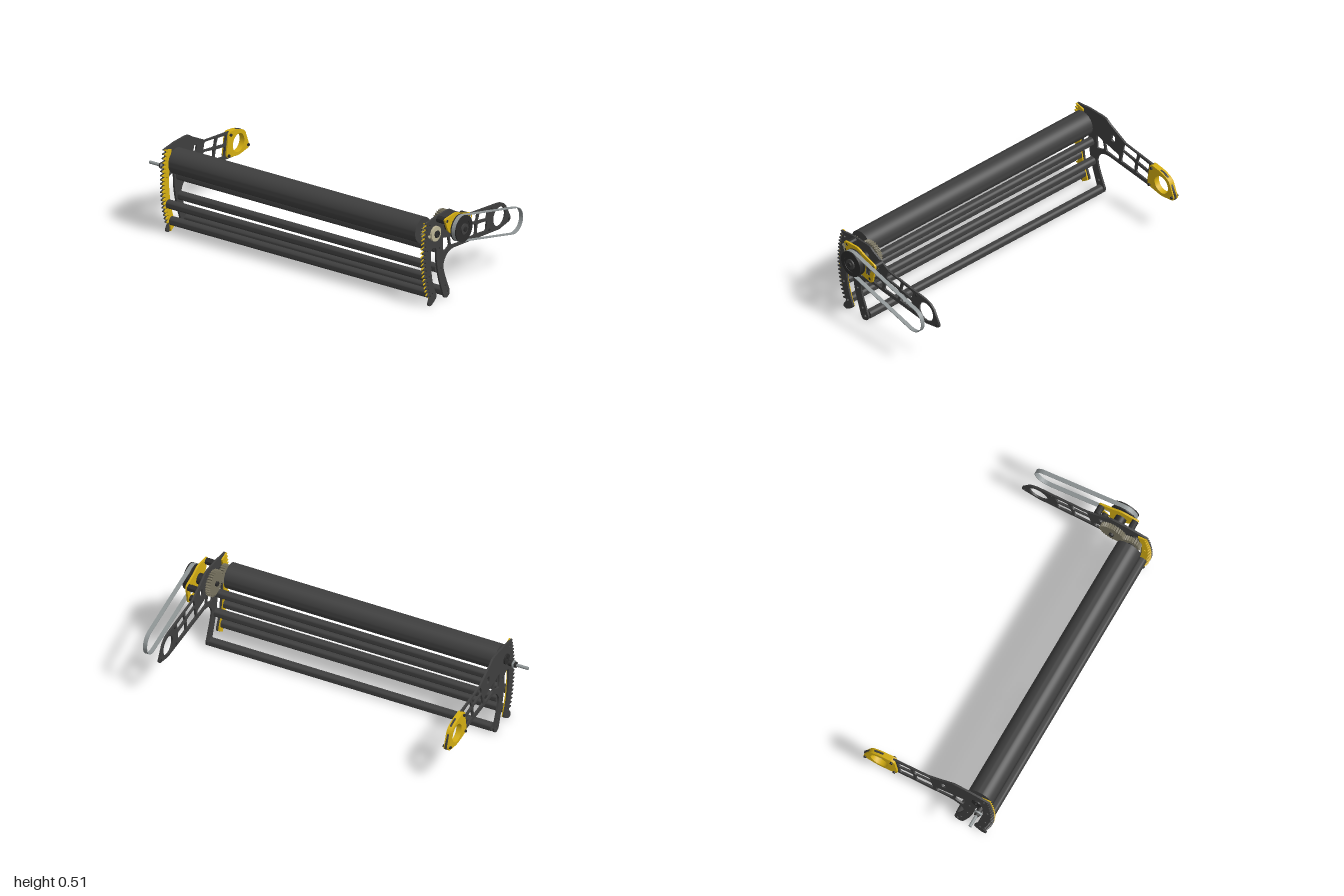
import * as THREE from 'three';
import { toCreasedNormals } from 'three/addons/utils/BufferGeometryUtils.js';

const mat = (color) => new THREE.MeshStandardMaterial({ color });
const DARK = mat(0x3f3f3f), BLACK = mat(0x2b2b2b), YELLOW = mat(0xd4ae12);
const TAN = mat(0xbdb596), STEEL = mat(0x8f9596), GEAR = mat(0x77725f);

// Side profiles use (u, v) = (-z, y) and are extruded along x.
const PIVOT = [0.301, 0.309];   // arm pivot, centre of the rack arc
const DRIVE = [-0.177, 0.43];   // drive shaft
const ROLL = [-0.297, 0.417];   // roller axle
const RACK_HOLES = [[-0.364, 0.33], [-0.349, 0.176], [-0.318, 0.067]];

function add(group, name, geo, material) {
  const mesh = new THREE.Mesh(geo, material);
  mesh.name = name;
  group.add(mesh);
  return mesh;
}

function prism(shape, x0, x1) {
  const geo = new THREE.ExtrudeGeometry(shape, { depth: x1 - x0, bevelEnabled: false, curveSegments: 16 });
  geo.rotateY(Math.PI / 2).translate(x0, 0, 0);
  return toCreasedNormals(geo, 0.5);
}

// Solid or hollow cylinder along x
function rod([u, v], r, x0, x1, inner = 0, sides = 32) {
  const h = (x1 - x0) / 2;
  let geo;
  if (inner > 0) {
    const loop = [[inner, -h], [r, -h], [r, h], [inner, h], [inner, -h]];
    geo = toCreasedNormals(new THREE.LatheGeometry(loop.map((p) => new THREE.Vector2(...p)), sides), 0.6);
  } else geo = new THREE.CylinderGeometry(r, r, 2 * h, sides);
  return geo.rotateZ(Math.PI / 2).translate((x0 + x1) / 2, v, -u);
}

function punch(shape, holes, r) {
  for (const [u, v] of holes) shape.holes.push(new THREE.Path().absarc(u, v, r, 0, Math.PI * 2, true));
  return shape;
}

// Polygon with rounded corners
function rounded(points, r, path = new THREE.Shape()) {
  const P = points.map((p) => new THREE.Vector2(...p));
  P.forEach((p, i) => {
    const toward = (q) => {
      const d = q.clone().sub(p);
      return p.clone().add(d.setLength(Math.min(r, d.length() * 0.45)));
    };
    const a = toward(P[(i + P.length - 1) % P.length]), b = toward(P[(i + 1) % P.length]);
    if (i === 0) path.moveTo(a.x, a.y); else path.lineTo(a.x, a.y);
    path.quadraticCurveTo(p.x, p.y, b.x, b.y);
  });
  path.closePath();
  return path;
}

const polar = (r, t) => [PIVOT[0] - r * Math.cos(t), PIVOT[1] + r * Math.sin(t)];

// Rack teeth, from the top to the bottom of the arc
function rackPoints() {
  const pts = [], n = 19, top = 0.275, pitch = 0.66 / n;
  for (let i = 0; i < n; i++) {
    const t = top - i * pitch;
    pts.push(polar(0.701, t), polar(0.701, t - pitch * 0.25), polar(0.68, t - pitch * 0.42), polar(0.68, t - pitch * 0.8));
  }
  return pts;
}

function plateShape() {
  const s = new THREE.Shape();
  const teeth = rackPoints();
  const curve = (pts) => s.splineThru(pts.map((p) => new THREE.Vector2(...p)));
  s.moveTo(...teeth[0]);
  teeth.slice(1).forEach((p) => s.lineTo(...p));
  // front prong foot, slot between the prongs, rear prong
  curve([[-0.353, 0.017], [-0.328, 0.004], [-0.284, 0.032], [-0.279, 0.05]]);
  curve([[-0.314, 0.137], [-0.329, 0.235], [-0.332, 0.311], [-0.325, 0.328], [-0.308, 0.335],
    [-0.289, 0.328], [-0.281, 0.311], [-0.275, 0.235], [-0.253, 0.137], [-0.214, 0.025]]);
  curve([[-0.204, 0.009], [-0.186, 0.003], [-0.163, 0.014], [-0.157, 0.04]]);
  curve([[-0.203, 0.148], [-0.214, 0.207], [-0.19, 0.25], [-0.16, 0.268], [-0.123, 0.274]]);
  // arm and its tip
  s.lineTo(0.301, 0.235);
  s.lineTo(0.39, 0.251);
  curve([[0.402, 0.26], [0.403, 0.278]]);
  s.lineTo(0.362, 0.355);
  curve([[0.335, 0.377], [0.3, 0.39]]);
  s.lineTo(0.008, 0.424);
  s.lineTo(-0.118, 0.489);
  curve([[-0.145, 0.507], [-0.177, 0.512]]);
  s.lineTo(-0.275, 0.511);
  s.closePath();
  punch(s, [...RACK_HOLES, [-0.342, 0.474], [-0.253, 0.311], [-0.24, 0.189], [-0.201, 0.076], [-0.179, 0.033]], 0.0075);
  punch(s, [PIVOT], 0.056);
  const windows = [
    [[-0.003, 0.416], [0.102, 0.403], [0.09, 0.354], [-0.014, 0.37]],
    [[0.12, 0.398], [0.2, 0.385], [0.186, 0.337], [0.102, 0.352]],
    [[-0.014, 0.36], [0.085, 0.341], [0.078, 0.278], [-0.029, 0.288]],
    [[0.1, 0.336], [0.189, 0.322], [0.18, 0.267], [0.092, 0.278]],
    [[-0.221, 0.366], [-0.17, 0.352], [-0.158, 0.3], [-0.188, 0.285], [-0.216, 0.278]],
    [[-0.155, 0.35], [-0.04, 0.322], [-0.049, 0.282], [-0.145, 0.295]],
    [[-0.1, 0.432], [-0.07, 0.425], [-0.078, 0.385], [-0.105, 0.385]],
  ];
  windows.forEach((w) => s.holes.push(rounded(w, 0.012, new THREE.Path())));
  return s;
}

function rackShape() {
  const s = new THREE.Shape(rackPoints().map((p) => new THREE.Vector2(...p)));
  s.lineTo(-0.325, 0.006);
  s.lineTo(-0.284, 0.033);
  for (let i = 0; i <= 14; i++) s.lineTo(...polar(0.643, -0.41 + i * 0.049));
  return punch(s, RACK_HOLES, 0.0075);
}

function gear([u, v], r, teeth, x0, x1) {
  const pts = [];
  for (let i = 0; i < teeth * 4; i++) {
    const t = (i / (teeth * 4)) * Math.PI * 2, q = i % 4 < 2 ? r : r - 0.009;
    pts.push(new THREE.Vector2(u + q * Math.cos(t), v + q * Math.sin(t)));
  }
  return prism(punch(new THREE.Shape(pts), [[u, v]], 0.012), x0, x1);
}

// Stadium around the drive pulley and the arm pivot
function stadium(r, path) {
  const a = Math.atan2(PIVOT[1] - DRIVE[1], PIVOT[0] - DRIVE[0]), q = Math.PI / 2;
  path.absarc(...PIVOT, r, a - q, a + q, false);
  path.absarc(...DRIVE, r, a + q, a + 3 * q, false);
  path.closePath();
  return path;
}

export function createModel() {
  const g = new THREE.Group();

  // Side plates with toothed racks on their inner faces
  for (const [side, name] of [[1, 'left'], [-1, 'right']]) {
    const span = (a, b) => (side > 0 ? [a, b] : [-b, -a]);
    add(g, name + 'SidePlate', prism(plateShape(), ...span(0.866, 0.877)), DARK);
    add(g, name + 'ToothedRack', prism(rackShape(), ...span(0.857, 0.866)), YELLOW);
    add(g, name + 'AxleBearing', rod(ROLL, 0.03, ...span(0.845, 0.885), 0.008), BLACK);
  }

  // Main roller and hollow crossbars
  add(g, 'mainRoller', rod(ROLL, 0.073, -0.842, 0.8, 0.008, 48), DARK);
  for (const p of [[-0.253, 0.311], [-0.24, 0.189], RACK_HOLES[1], RACK_HOLES[2], [-0.179, 0.033]]) {
    add(g, 'crossbar', rod(p, 0.025, -0.857, 0.857, 0.0078), DARK);
  }

  // Gear pair, roller hub and nut
  add(g, 'rollerGear', gear(ROLL, 0.054, 20, 0.822, 0.85), GEAR);
  add(g, 'driveGear', gear(DRIVE, 0.077, 30, 0.822, 0.85), GEAR);
  add(g, 'rollerAxle', rod(ROLL, 0.02, 0.79, 0.87, 0.008), BLACK);
  add(g, 'rollerHub', rod(ROLL, 0.043, 0.877, 0.89, 0.012), TAN);
  add(g, 'axleNut', rod(ROLL, 0.021, 0.885, 0.9, 0.008, 6), BLACK);
  add(g, 'dowel', rod([-0.35, 0.415], 0.008, 0.872, 0.882), TAN);

  // Motor bracket on spacers
  const bracket = rounded([[-0.288, 0.508], [-0.177, 0.516], [-0.118, 0.489], [-0.034, 0.464],
    [-0.06, 0.336], [-0.17, 0.36], [-0.255, 0.43]], 0.02);
  const bolts = [[-0.264, 0.491], [-0.055, 0.448], [-0.08, 0.36]];
  punch(bracket, bolts, 0.009);
  bracket.holes.push(rounded([[-0.105, 0.44], [-0.068, 0.43], [-0.08, 0.38], [-0.11, 0.378]], 0.01, new THREE.Path()));
  add(g, 'motorBracket', prism(bracket, 0.927, 0.938), YELLOW);
  bolts.forEach((p) => add(g, 'bracketSpacer', rod(p, 0.019, 0.877, 0.927, 0.009), BLACK));
  add(g, 'shaftHousing', rod(DRIVE, 0.032, 0.877, 0.945), BLACK);

  // Drive pulley, shaft and belt
  add(g, 'driveShaft', rod(DRIVE, 0.014, 0.81, 1.0, 0, 12), BLACK);
  add(g, 'pulleyDrum', rod(DRIVE, 0.071, 0.95, 0.985, 0, 48), BLACK);
  for (const x of [0.95, 0.981]) add(g, 'pulleyFlange', rod(DRIVE, 0.076, x, x + 0.007, 0.05, 48), BLACK);
  add(g, 'pulleyHub', rod(DRIVE, 0.03, 0.98, 0.993), DARK);
  const belt = stadium(0.0755, new THREE.Shape());
  belt.holes.push(stadium(0.0715, new THREE.Path()));
  add(g, 'driveBelt', prism(belt, 0.957, 0.981), STEEL);

  // Pivot hub on the right arm, with its screws
  const hub = rounded([[0.187, 0.256], [0.301, 0.236], [0.405, 0.252], [0.36, 0.365], [0.3, 0.39], [0.21, 0.402]], 0.025);
  add(g, 'pivotHub', prism(punch(hub, [PIVOT], 0.053), -0.89, -0.858), YELLOW);
  const screws = [[0.225, 0.38], [0.207, 0.264], [0.387, 0.268]];
  screws.forEach((p) => {
    add(g, 'hubScrew', rod(p, 0.008, -0.898, -0.85, 0, 12), BLACK);
    add(g, 'armScrew', rod(p, 0.007, 0.863, 0.88, 0, 12), BLACK);
  });

  // Right shaft with collars
  const stub = [-0.322, 0.376];
  add(g, 'sideShaft', rod(stub, 0.009, -1.0, -0.86, 0, 16), STEEL);
  add(g, 'shaftCollar', rod(stub, 0.022, -0.917, -0.908), STEEL);
  add(g, 'shaftNut', rod(stub, 0.016, -0.93, -0.88, 0, 6), BLACK);
  return g;
}
